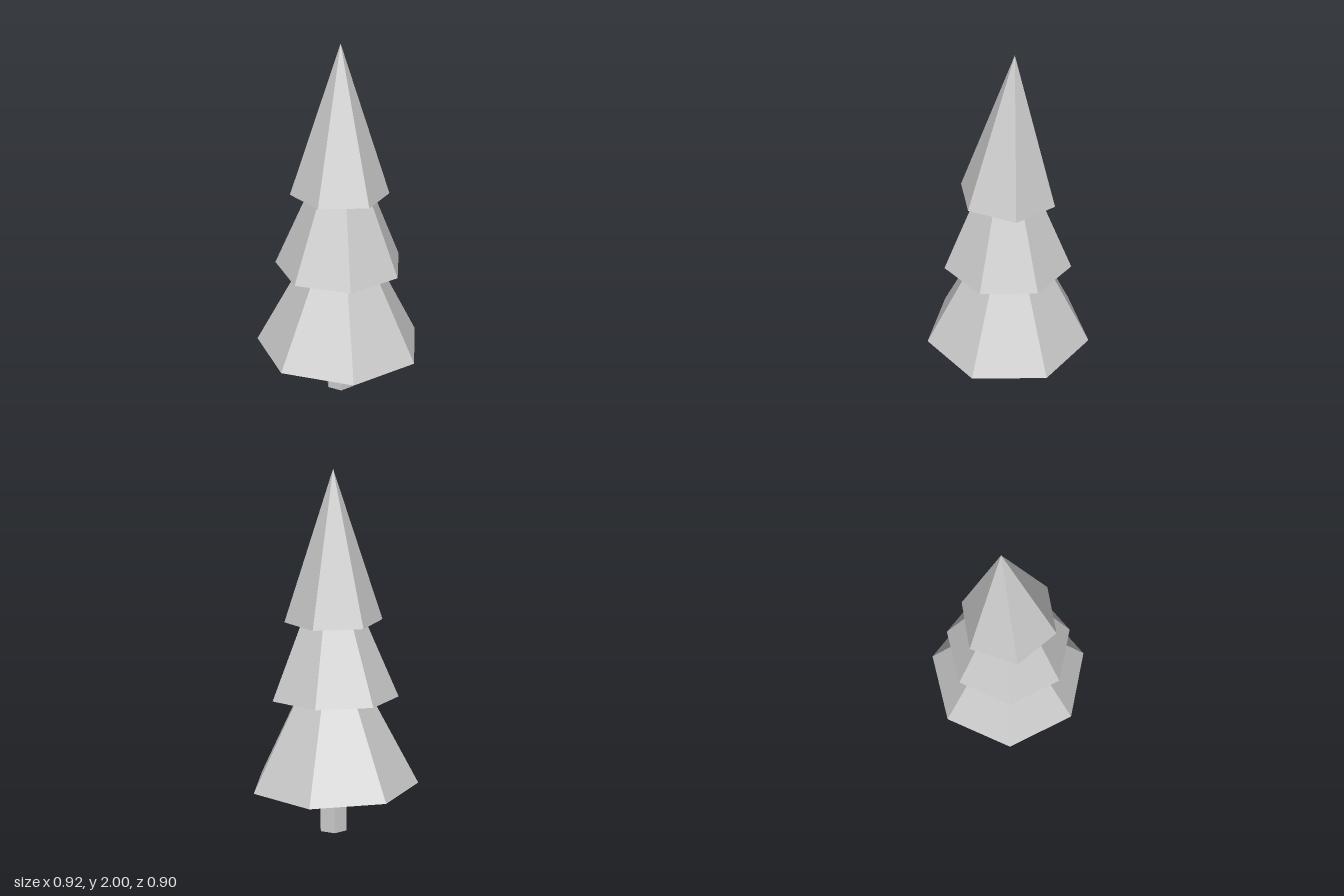
import * as THREE from 'three';

const CENTRE_Z = 0.022; // trunk and tiers share this axis

// Hollow open-bottomed cone with a slightly tilted rim and an offset tip
function makeTier(name, { sides, radius, rimY, tiltX = 0, tiltZ = 0, tip }, material) {
  // thetaStart PI puts the first rim corner at the back (-z)
  const geometry = new THREE.ConeGeometry(radius, 1, sides, 1, true, Math.PI);
  const p = geometry.attributes.position;
  for (let i = 0; i < p.count; i++) {
    if (p.getY(i) > 0) {
      p.setXYZ(i, ...tip);
    } else {
      const x = p.getX(i), z = p.getZ(i);
      p.setXYZ(i, x, rimY + tiltX * x + tiltZ * z, z + CENTRE_Z);
    }
  }
  const flat = geometry.toNonIndexed();
  flat.computeVertexNormals();
  const mesh = new THREE.Mesh(flat, material);
  mesh.name = name;
  return mesh;
}

export function createModel() {
  const tree = new THREE.Group();
  tree.name = 'pineTree';

  const grey = new THREE.MeshStandardMaterial({ color: 0xcccccc, flatShading: true, side: THREE.DoubleSide });
  grey.name = 'light grey';

  // Six-sided trunk, reaching up inside the lowest tier
  const trunk = new THREE.Mesh(new THREE.CylinderGeometry(0.083, 0.083, 0.43, 6, 1, false, Math.PI / 6), grey);
  trunk.name = 'trunk';
  trunk.position.set(0, 0.215, 0.027);
  tree.add(trunk);

  // Foliage tiers, bottom to top
  tree.add(
    makeTier('lowerFoliage', { sides: 7, radius: 0.471, rimY: 0.27, tiltX: -0.016, tip: [0.014, 1.17, 0.02] }, grey),
    makeTier('middleFoliage', { sides: 7, radius: 0.357, rimY: 0.766, tip: [0.01, 1.61, 0.03] }, grey),
    makeTier('upperFoliage', { sides: 6, radius: 0.268, rimY: 1.184, tiltX: -0.043, tiltZ: 0.04, tip: [0.024, 2, -0.007] }, grey)
  );

  return tree;
}
